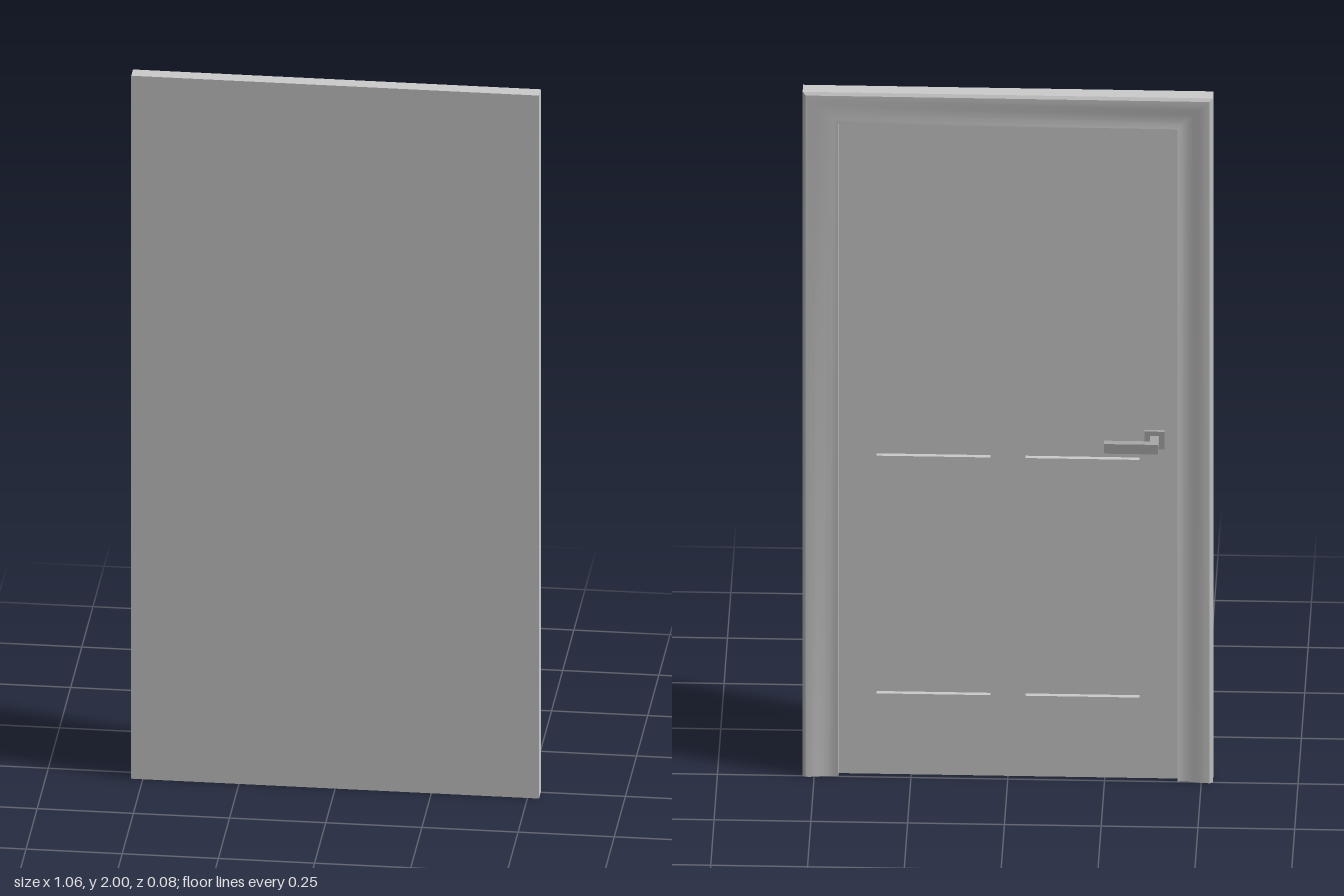
import * as THREE from 'three';
import { toCreasedNormals } from 'three/addons/utils/BufferGeometryUtils.js';

const W = 0.53, H = 2, FRONT = 0.039, BACKING = 0.031;

// Casing profile: [inset from the outer edge, z]
const PROFILE = [
  [0, BACKING], [0, 0], [0.008, -0.005], [0.02, -0.005], [0.035, -0.003],
  [0.05, 0.0], [0.065, 0.002], [0.08, 0.002], [0.092, 0], [0.092, BACKING],
];

// Sweeps the profile up one jamb, across the head and down the other, with mitres
function casingGeometry() {
  const pos = [];
  const quad = (a, b, c, d) => pos.push(...a, ...b, ...c, ...a, ...c, ...d);
  const rows = PROFILE.map(([d, z]) => [
    [W - d, 0, z], [W - d, H - d, z], [d - W, H - d, z], [d - W, 0, z],
  ]);
  for (let i = 0; i < rows.length - 1; i++) {
    const p = rows[i], q = rows[i + 1];
    for (let k = 0; k < 3; k++) quad(p[k], q[k], q[k + 1], p[k + 1]);
    // Bottom ends of both jambs
    if (i > 0 && i < rows.length - 2) {
      const base = (v) => [v[0], 0, BACKING];
      quad(base(p[0]), base(q[0]), q[0], p[0]);
      quad(p[3], q[3], base(q[3]), base(p[3]));
    }
  }
  const g = new THREE.BufferGeometry();
  g.setAttribute('position', new THREE.Float32BufferAttribute(pos, 3));
  g.computeVertexNormals();
  return toCreasedNormals(g, 0.5);
}

function rect(path, x0, y0, x1, y1) {
  path.moveTo(x0, y0);
  path.lineTo(x1, y0);
  path.lineTo(x1, y1);
  path.lineTo(x0, y1);
  path.closePath();
  return path;
}

// Leaf with four panel openings
function leafGeometry(z) {
  const shape = rect(new THREE.Shape(), -0.438, 0, 0.438, 1.909);
  for (const [x0, x1] of [[-0.34, -0.045], [0.045, 0.34]]) {
    for (const [y0, y1] of [[0.235, 0.81], [0.93, 1.82]]) {
      shape.holes.push(rect(new THREE.Path(), x0, y0, x1, y1));
    }
  }
  const g = new THREE.ExtrudeGeometry(shape, { depth: BACKING - z, bevelEnabled: false });
  return g.translate(0, 0, z);
}

export function createModel() {
  const paint = new THREE.MeshStandardMaterial({ color: 0xcccccc });
  paint.name = 'door paint';
  const metal = new THREE.MeshStandardMaterial({ color: 0xa8a8a8 });
  metal.name = 'handle metal';

  const model = new THREE.Group();
  model.name = 'door';
  const add = (parent, name, geometry, material) => {
    const mesh = new THREE.Mesh(geometry, material);
    mesh.name = name;
    parent.add(mesh);
  };
  // Box given by its lower and upper corners
  const box = (x0, x1, y0, y1, z0, z1) =>
    new THREE.BoxGeometry(x1 - x0, y1 - y0, z1 - z0)
      .translate((x0 + x1) / 2, (y0 + y1) / 2, (z0 + z1) / 2);

  // Flat front, also the floor of the recessed panels
  add(model, 'backingPanel', box(-W, W, 0, H, BACKING, FRONT), paint);
  add(model, 'casing', casingGeometry(), paint);
  add(model, 'doorLeaf', leafGeometry(0.018), paint);

  // Lever handle
  const handle = new THREE.Group();
  handle.name = 'handle';
  add(handle, 'rose', box(-0.405, -0.353, 0.966, 1.018, 0.009, 0.018), metal);
  add(handle, 'stem', box(-0.39, -0.368, 0.978, 1.006, -0.022, 0.009), metal);
  add(handle, 'lever', box(-0.39, -0.25, 0.978, 1.006, -0.041, -0.022), metal);
  model.add(handle);

  return model;
}
